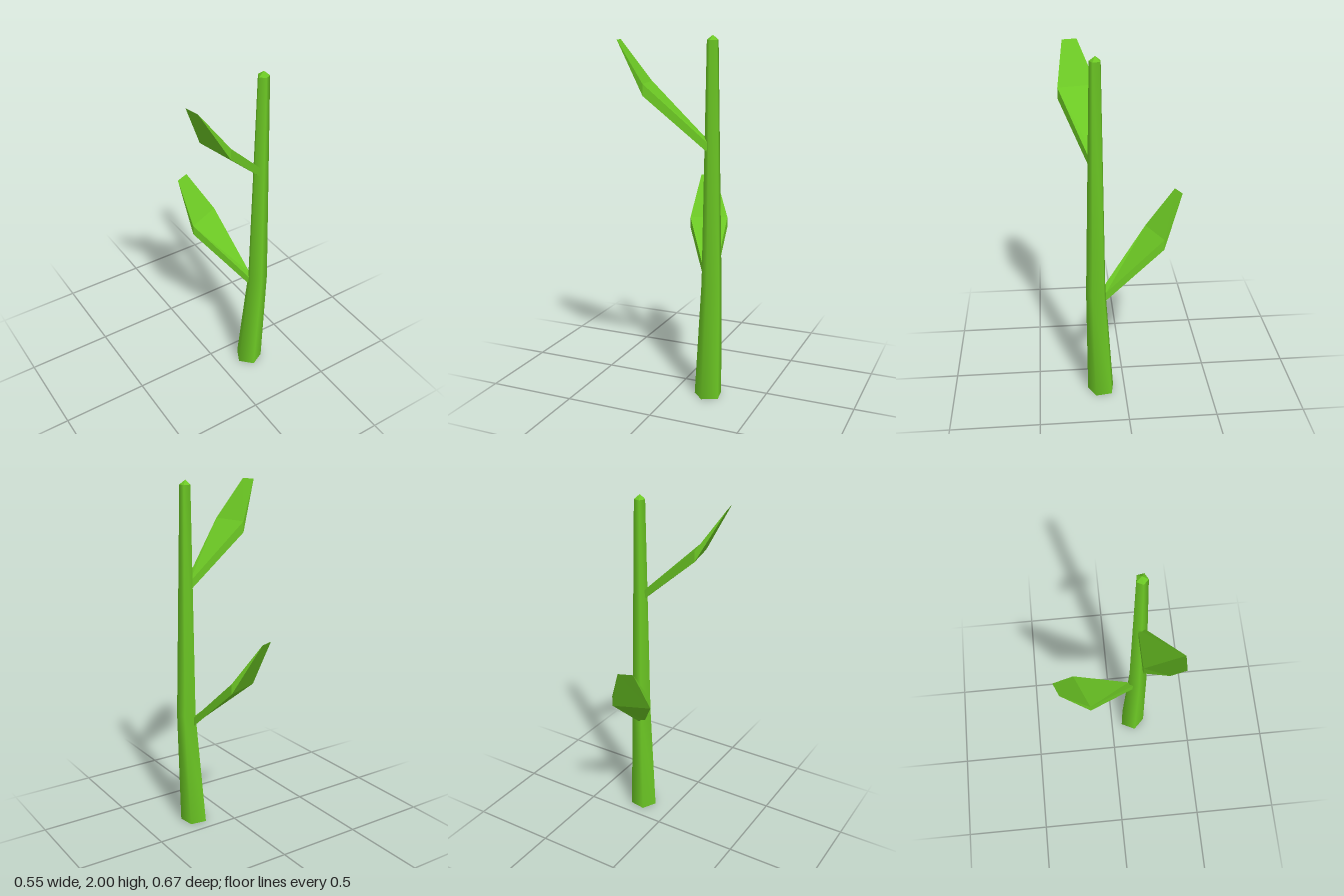
import * as THREE from 'three';
import { toCreasedNormals } from 'three/addons/utils/BufferGeometryUtils.js';

// Skin a list of equal-length rings; the first ring is closed with a flat cap.
function loft(rings, crease) {
  const pos = [];
  const tri = (...corners) => corners.forEach((p) => pos.push(...p));
  const n = rings[0].length;
  for (let k = 1; k < n - 1; k++) tri(rings[0][0], rings[0][k], rings[0][k + 1]);
  for (let r = 0; r < rings.length - 1; r++) {
    const a = rings[r], b = rings[r + 1];
    for (let i = 0; i < n; i++) {
      const j = (i + 1) % n;
      tri(a[i], b[i], b[j]);
      tri(a[i], b[j], a[j]);
    }
  }
  const geo = new THREE.BufferGeometry();
  geo.setAttribute('position', new THREE.Float32BufferAttribute(pos, 3));
  geo.computeVertexNormals();
  return crease ? toCreasedNormals(geo, crease) : geo;
}

// Five-sided horizontal ring of the stem
function pentagon(x, y, z, radius) {
  return Array.from({ length: 5 }, (_, i) => {
    const a = THREE.MathUtils.degToRad(27 + 72 * i);
    return [x + radius * Math.cos(a), y, z + radius * Math.sin(a)];
  });
}

// Leaf section: left and right [x, z], top height and thickness
function leafSection([lx, lz], [rx, rz], top, thick) {
  return [[lx, top - thick, lz], [rx, top - thick, rz], [rx, top, rz], [lx, top, lz]];
}

export function createModel() {
  const model = new THREE.Group();
  model.name = 'plantStalk';
  const green = new THREE.MeshStandardMaterial({ color: 0x6cc824 });
  const add = (name, geo) => {
    const mesh = new THREE.Mesh(geo, green);
    mesh.name = name;
    model.add(mesh);
  };

  // Tapering stem with a slight bend
  const top = pentagon(0.213, 1.975, 0.149, 0.032);
  add('stem', loft([
    pentagon(0.197, 0, 0.137, 0.08),
    pentagon(0.222, 0.67, 0.16, 0.058),
    top,
  ], 1.3));

  // Low pointed cap
  add('stemTip', loft([top, pentagon(0.213, 2, 0.149, 0)]));

  // Wedge leaves: narrow root, wide middle, sharp tip edge
  add('upperLeaf', loft([
    leafSection([0.2, 0.18], [0.2, 0.145], 1.445, 0.05),
    leafSection([-0.1, 0.335], [-0.145, 0.124], 1.755, 0.062),
    leafSection([-0.262, 0.301], [-0.28, 0.22], 1.975, 0),
  ]));
  add('lowerLeaf', loft([
    leafSection([0.183, 0.133], [0.21, 0.105], 0.66, 0.05),
    leafSection([-0.031, -0.14], [0.167, -0.224], 0.953, 0.06),
    leafSection([-0.03, -0.305], [0.047, -0.337], 1.177, 0),
  ]));

  return model;
}
